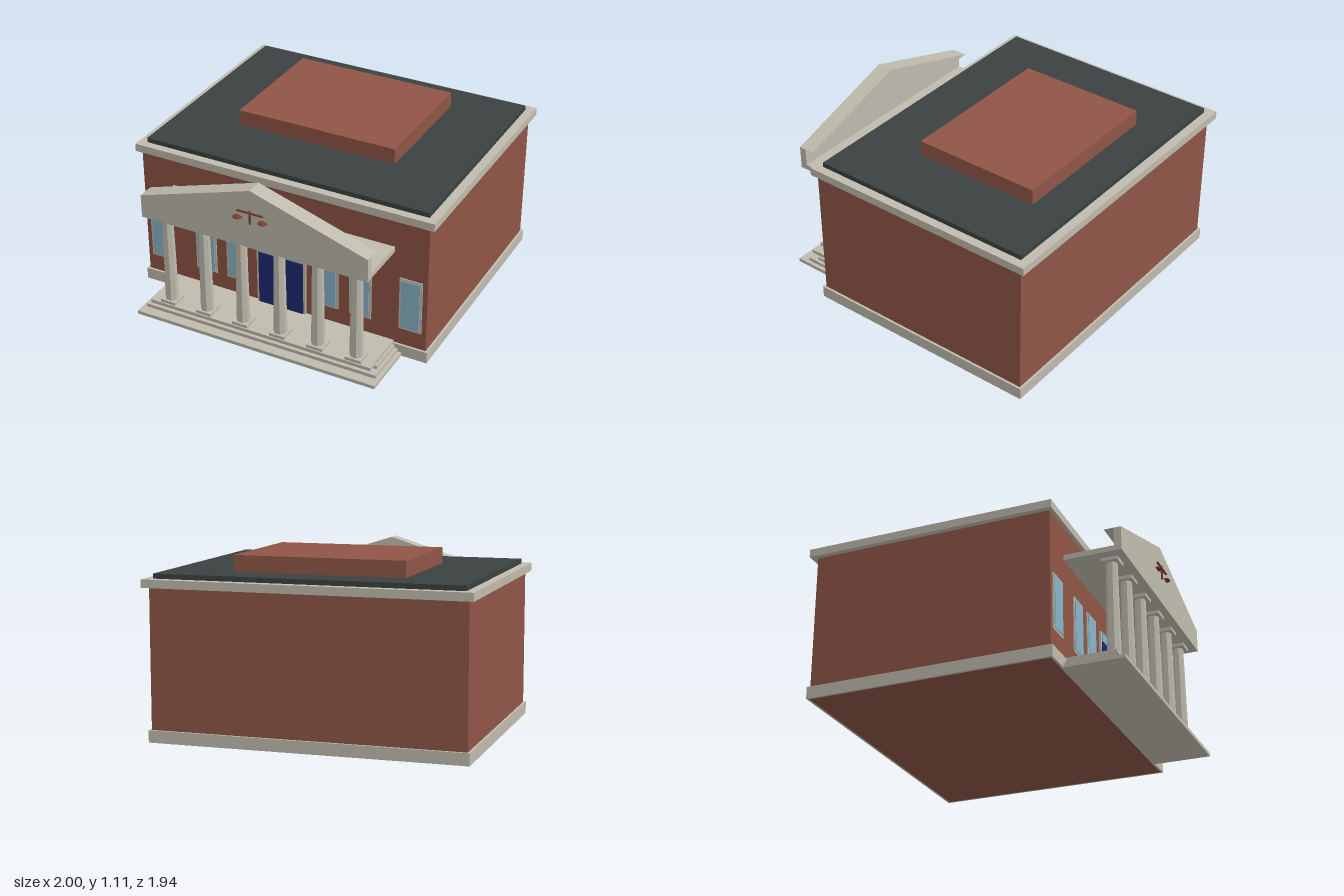
import * as THREE from 'three';

const mat = (name, color, flatShading = false) => {
  const m = new THREE.MeshStandardMaterial({ color, flatShading });
  m.name = name;
  return m;
};

export function createModel() {
  const root = new THREE.Group();
  root.name = 'courthouse';
  const brick = mat('brick', 0x8f5546);
  const stone = mat('stone', 0xbfbbae);
  const facetedStone = stone.clone();
  facetedStone.flatShading = true;
  const slate = mat('roofSlate', 0x3b4140);
  const glass = mat('glass', 0x89b5c9);
  const doorBlue = mat('doorBlue', 0x1f2873);
  const bronze = mat('emblemBronze', 0x7a4032);

  const add = (name, geometry, material, x = 0, y = 0, z = 0, parent = root) => {
    const mesh = new THREE.Mesh(geometry, material);
    mesh.name = name;
    mesh.position.set(x, y, z);
    parent.add(mesh);
    return mesh;
  };
  // Box given by its limits on each axis
  const box = (name, material, x0, x1, y0, y1, z0, z1, parent = root) =>
    add(name, new THREE.BoxGeometry(x1 - x0, y1 - y0, z1 - z0), material,
      (x0 + x1) / 2, (y0 + y1) / 2, (z0 + z1) / 2, parent);
  const group = (name) => {
    const g = new THREE.Group();
    g.name = name;
    root.add(g);
    return g;
  };

  // Main block: walls reach the ground inside a stone base ring
  box('walls', brick, -0.965, 0.965, 0, 0.94, -0.935, 0.575);
  const base = group('baseCourse');
  box('baseFront', stone, -0.98, 0.98, 0, 0.075, 0.575, 0.59, base);
  box('baseBack', stone, -0.98, 0.98, 0, 0.075, -0.95, -0.935, base);
  for (const s of [-1, 1]) {
    const a = s * 0.965, b = s * 0.98;
    box('baseSide', stone, Math.min(a, b), Math.max(a, b), 0, 0.075, -0.935, 0.575, base);
  }
  box('cornice', stone, -1, 1, 0.93, 0.98, -0.975, 0.597);
  box('roof', slate, -0.945, 0.945, 0.98, 1.01, -0.918, 0.545);
  box('roofBlock', brick, -0.53, 0.53, 1.01, 1.11, -0.685, 0.137);

  // Entrance steps and porch floor
  [
    [0.815, 0, 0.023, 0.955],
    [0.79, 0.023, 0.045, 0.89],
    [0.77, 0.045, 0.065, 0.83],
    [0.755, 0.065, 0.087, 0.89],
  ].forEach(([w, y0, y1, z], i) =>
    box(i === 3 ? 'porchFloor' : 'step', stone, -w, w, y0, y1, 0.57, z));

  // Columns with plinth and capital
  const shaft = new THREE.CylinderGeometry(0.034, 0.042, 0.585, 8);
  shaft.rotateY(Math.PI / 8);
  for (const x of [-0.636, -0.382, -0.128, 0.128, 0.382, 0.636]) {
    const column = group('column');
    column.position.set(x, 0, 0.83);
    box('plinth', stone, -0.052, 0.052, 0.087, 0.107, -0.052, 0.052, column);
    add('shaft', shaft, facetedStone, 0, 0.3985, 0, column);
    box('capital', stone, -0.052, 0.052, 0.69, 0.712, -0.052, 0.052, column);
  }

  // Portico ceiling, front board and gable
  box('porticoRoof', stone, -0.75, 0.75, 0.712, 0.745, 0.57, 0.885);
  box('frontBoard', stone, -0.75, 0.75, 0.712, 0.86, 0.885, 0.93);
  const gable = new THREE.Shape([[-0.75, 0.86], [0.75, 0.86], [0, 1.098]]
    .map(([x, y]) => new THREE.Vector2(x, y)));
  add('gable', new THREE.ExtrudeGeometry(gable, { depth: 0.105, bevelEnabled: false }),
    stone, 0, 0, 0.825);

  // Balance emblem on the gable
  const balance = group('balanceEmblem');
  box('post', bronze, -0.004, 0.004, 0.878, 0.968, 0.93, 0.942, balance);
  box('beam', bronze, -0.086, 0.086, 0.949, 0.957, 0.93, 0.942, balance);
  const dome = new THREE.SphereGeometry(0.03, 16, 6, 0, Math.PI * 2, 0, Math.PI / 2);
  dome.scale(1, 0.5, 1);
  const disc = new THREE.CircleGeometry(0.03, 16);
  disc.rotateX(Math.PI / 2);
  for (const x of [-0.082, 0.082]) {
    add('pan', dome, bronze, x, 0.906, 0.932, balance);
    add('panUnderside', disc, bronze, x, 0.906, 0.932, balance);
  }

  // Windows
  for (const s of [-1, 1]) {
    for (const d of [0.86, 0.532, 0.312]) {
      const win = group('window');
      win.position.x = s * d;
      box('windowFrame', stone, -0.073, 0.073, 0.19, 0.545, 0.57, 0.582, win);
      box('windowPane', glass, -0.06, 0.06, 0.203, 0.532, 0.58, 0.587, win);
    }
  }

  // Double door with transom
  box('doorFrame', stone, -0.168, 0.168, 0.087, 0.517, 0.57, 0.588);
  box('transom', glass, -0.152, 0.152, 0.45, 0.51, 0.587, 0.595);
  box('doorLeafRight', doorBlue, -0.152, -0.006, 0.087, 0.45, 0.587, 0.595);
  box('doorLeafLeft', doorBlue, 0.006, 0.152, 0.087, 0.45, 0.587, 0.595);

  return root;
}
